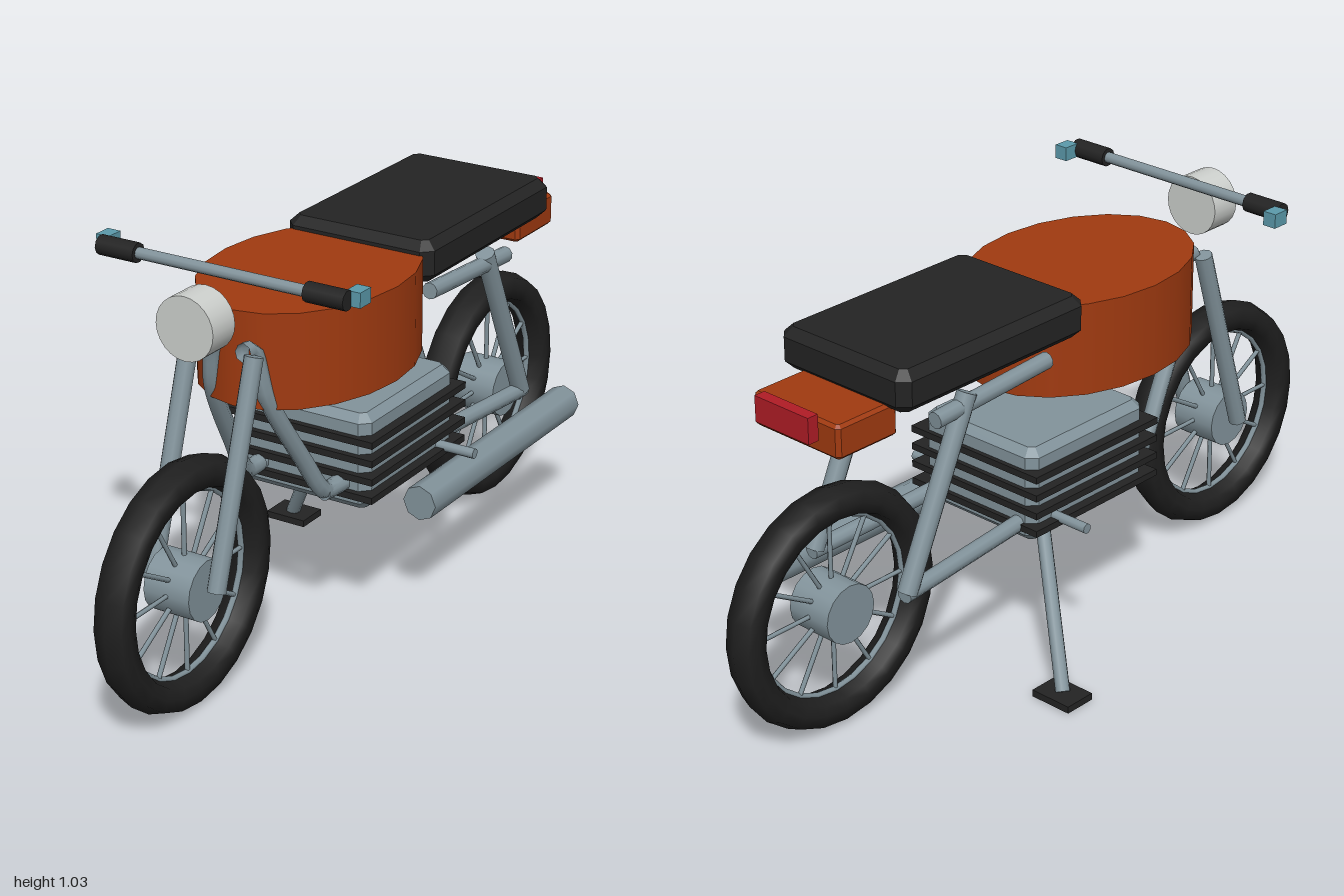
import * as THREE from 'three';

const mat = (name, color) => {
  const m = new THREE.MeshStandardMaterial({ color });
  m.name = name;
  return m;
};

export function createModel() {
  const steel = mat('steel grey', 0x82939b);
  const orange = mat('burnt orange', 0xa03a10);
  const black = mat('black', 0x232323);
  const rubber = mat('tyre rubber', 0x1f1f1f);
  const red = mat('tail red', 0xb01c26);
  const glass = mat('lamp white', 0xcccfcc);
  const teal = mat('signal teal', 0x5b9aab);

  const model = new THREE.Group();
  model.name = 'motorcycle';
  // everything except the kickstand is symmetrical about this plane
  const bike = new THREE.Group();
  bike.name = 'bike';
  bike.position.x = 0.018;
  model.add(bike);

  const add = (name, geo, material, pos = [0, 0, 0], parent = bike) => {
    const mesh = new THREE.Mesh(geo, material);
    mesh.name = name;
    mesh.position.set(...pos);
    parent.add(mesh);
    return mesh;
  };
  const box = (name, w, h, d, material, pos) =>
    add(name, new THREE.BoxGeometry(w, h, d), material, pos);

  // round bar between two points
  const bar = (name, a, b, r, material, parent = bike, sides = 10) => {
    const p = new THREE.Vector3(...a), q = new THREE.Vector3(...b);
    const dir = q.clone().sub(p);
    const mesh = add(name, new THREE.CylinderGeometry(r, r, dir.length(), sides), material,
      p.clone().add(q).multiplyScalar(0.5).toArray(), parent);
    mesh.quaternion.setFromUnitVectors(new THREE.Vector3(0, 1, 0), dir.normalize());
    return mesh;
  };

  // box with chamfered edges, centred on its position
  const bevelBox = (name, w, h, d, c, material, pos) => {
    const x = w / 2 - c, z = d / 2 - c, k = c * 0.6;
    const s = new THREE.Shape([[-x + k, -z], [x - k, -z], [x, -z + k], [x, z - k],
      [x - k, z], [-x + k, z], [-x, z - k], [-x, -z + k]].map(p => new THREE.Vector2(...p)));
    const geo = new THREE.ExtrudeGeometry(s, {
      depth: h - 2 * c, bevelEnabled: true, bevelSize: c, bevelThickness: c, bevelSegments: 1,
    });
    geo.rotateX(-Math.PI / 2).translate(0, c - h / 2, 0);
    return add(name, geo, material, pos);
  };

  // wheels: tyre, thin rim, hub and twelve spokes
  const tyreProfile = [[0.226, 0], [0.238, -0.036], [0.265, -0.041], [0.294, -0.038], [0.307, 0],
    [0.294, 0.038], [0.265, 0.041], [0.238, 0.036], [0.226, 0]].map(p => new THREE.Vector2(...p));
  for (const [name, z] of [['frontWheel', 0.693], ['rearWheel', -0.693]]) {
    const wheel = new THREE.Group();
    wheel.name = name;
    wheel.position.set(0, 0.307, z);
    bike.add(wheel);
    add('tyre', new THREE.LatheGeometry(tyreProfile, 24).rotateZ(Math.PI / 2), rubber, [0, 0, 0], wheel);
    add('rim', new THREE.TorusGeometry(0.227, 0.008, 6, 24).rotateY(Math.PI / 2), steel, [0, 0, 0], wheel);
    add('hub', new THREE.CylinderGeometry(0.075, 0.075, 0.125, 16).rotateZ(Math.PI / 2), steel, [0, 0, 0], wheel);
    for (let i = 0; i < 12; i++) {
      const a = i * Math.PI / 6, c = Math.cos(a), s = Math.sin(a);
      bar('spoke', [0, 0.06 * s, 0.06 * c], [0, 0.24 * s, 0.24 * c], 0.006, steel, wheel, 6);
    }
  }

  // fork, frame tubes and handlebar ends on both sides
  for (const s of [-1, 1]) {
    bar('forkLeg', [s * 0.088, 0.31, 0.695], [s * 0.088, 0.83, 0.532], 0.023, steel);
    const path = new THREE.CatmullRomCurve3([[0.057, 0.83, 0.53], [0.058, 0.825, 0.495],
      [0.075, 0.7, 0.462], [0.1, 0.5, 0.345], [0.11, 0.42, 0.295], [0.112, 0.403, 0.27], [0.113, 0.402, 0.22]]
      .map(([x, y, z]) => new THREE.Vector3(s * x, y, z)));
    add('downTube', new THREE.TubeGeometry(path, 24, 0.022, 8), steel).material.side = THREE.DoubleSide;
    bar('lowerRail', [s * 0.112, 0.403, 0.285], [s * 0.155, 0.358, -0.61], 0.021, steel);
    bar('seatStrut', [s * 0.155, 0.8, -0.395], [s * 0.155, 0.36, -0.6], 0.025, steel);
    bar('upperRail', [s * 0.155, 0.787, -0.125], [s * 0.155, 0.765, -0.5], 0.021, steel);
    bar('grip', [s * 0.228, 1.012, 0.527], [s * 0.333, 1.012, 0.527], 0.024, black);
    box('turnSignal', 0.036, 0.036, 0.045, teal, [s * 0.338, 1.012, 0.492]);
  }
  bar('handlebar', [-0.24, 1.012, 0.527], [0.24, 1.012, 0.527], 0.014, steel);

  // headlight
  add('headlight', new THREE.CylinderGeometry(0.077, 0.077, 0.085, 24).rotateX(Math.PI / 2), glass, [0, 0.924, 0.63]);

  // oval tank, seat and tail
  const tank = add('tank', new THREE.CylinderGeometry(1, 1, 0.235, 20), orange, [0, 0.792, 0.165]);
  tank.scale.set(0.24, 1, 0.325);
  bevelBox('seat', 0.41, 0.105, 0.61, 0.022, black, [0, 0.888, -0.34]);
  bevelBox('tailSection', 0.276, 0.085, 0.185, 0.008, orange, [0, 0.803, -0.69]);
  box('tailLight', 0.172, 0.065, 0.03, red, [0, 0.832, -0.807]);

  // engine block with cooling fins, and the foot pegs
  bevelBox('engine', 0.366, 0.247, 0.412, 0.02, steel, [0, 0.456, 0]);
  for (let i = 0; i < 4; i++) box('coolingFin', 0.415, 0.017, 0.44, black, [0, 0.377 + i * 0.0477, 0.002]);
  bar('footPegs', [-0.288, 0.387, -0.128], [0.288, 0.387, -0.128], 0.013, steel);

  // exhaust on the left side
  bar('exhaust', [0.235, 0.31, 0.047], [0.235, 0.31, -0.692], 0.045, steel, bike, 8);

  // kickstand on the right side
  bar('kickstandLeg', [-0.145, 0.36, -0.13], [-0.338, 0.018, -0.268], 0.018, steel);
  box('kickstandFoot', 0.115, 0.018, 0.085, black, [-0.336, 0.009, -0.268]);

  return model;
}
